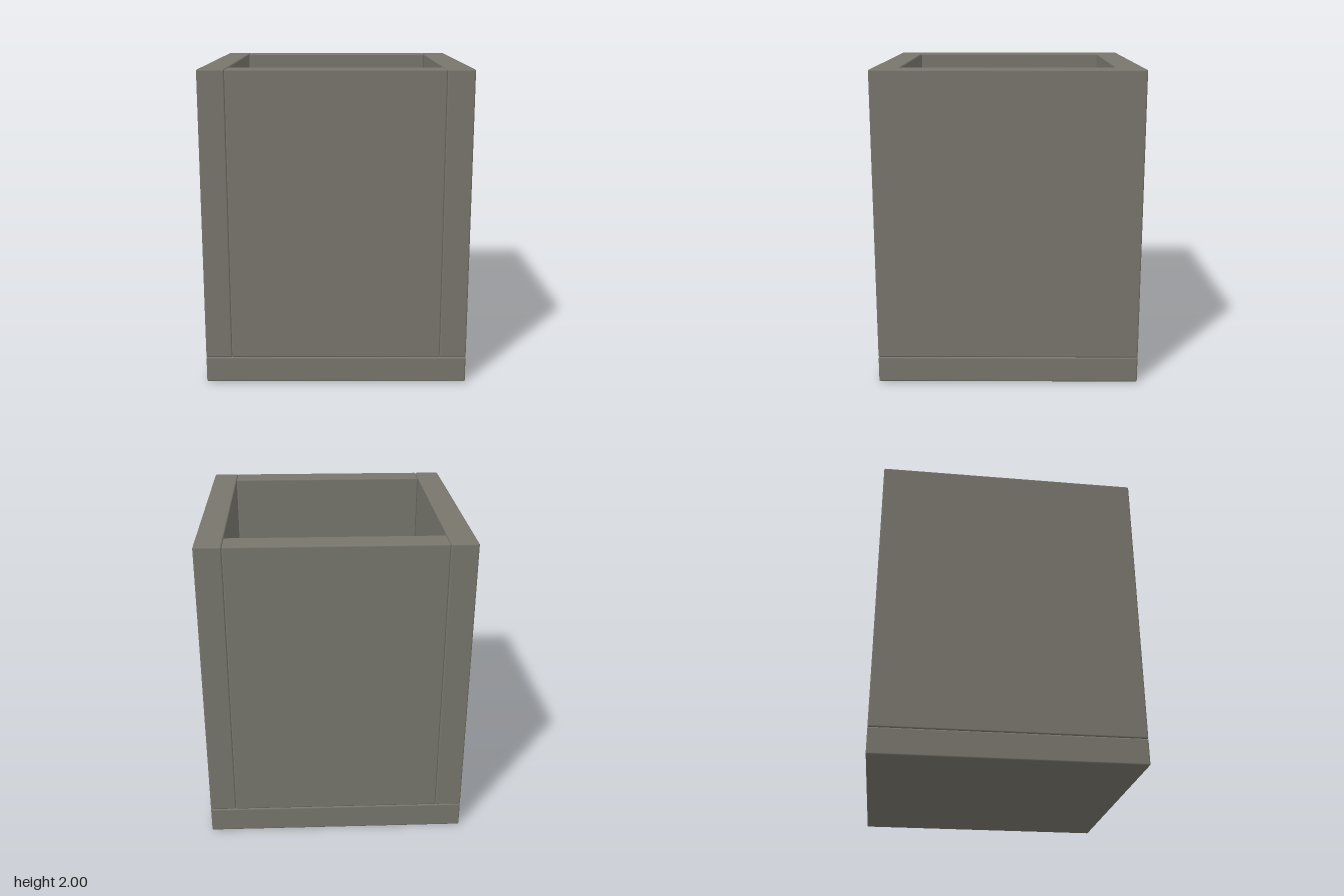
import * as THREE from 'three';
import { RoundedBoxGeometry } from 'three/addons/geometries/RoundedBoxGeometry.js';

const WIDTH = 1.666, HEIGHT = 2, THICK = 0.167, BEVEL = 0.01;

export function createModel() {
  const model = new THREE.Group();
  model.name = 'openBox';

  const stone = new THREE.MeshStandardMaterial({ color: 0x77756c });
  stone.name = 'grey stone';

  // A slab with softly rounded edges
  const slab = (name, w, h, d, x, y, z) => {
    const mesh = new THREE.Mesh(new RoundedBoxGeometry(w, h, d, 2, BEVEL), stone);
    mesh.name = name;
    mesh.position.set(x, y, z);
    model.add(mesh);
  };

  const wallHeight = HEIGHT - THICK;
  const wallY = THICK + wallHeight / 2;
  const offset = (WIDTH - THICK) / 2;

  // Base plate
  slab('base', WIDTH, THICK, WIDTH, 0, THICK / 2, 0);

  // Full-depth side walls, with the front and back walls set between them
  for (const s of [1, -1]) {
    slab(s > 0 ? 'leftWall' : 'rightWall', THICK, wallHeight, WIDTH, s * offset, wallY, 0);
    slab(s > 0 ? 'frontWall' : 'backWall', WIDTH - 2 * THICK, wallHeight, THICK, 0, wallY, s * offset);
  }

  return model;
}
